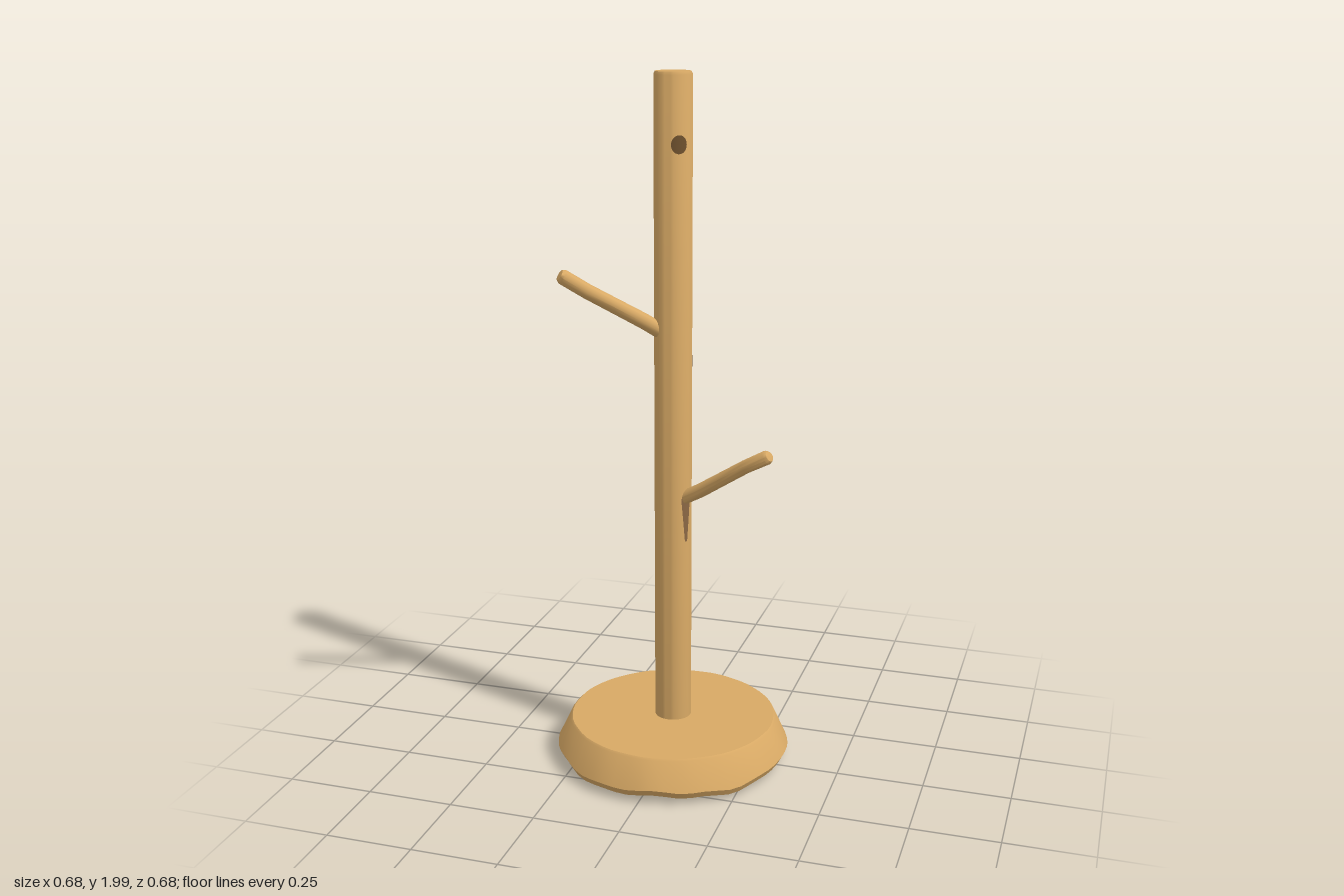
import * as THREE from 'three';
import { toCreasedNormals } from 'three/addons/utils/BufferGeometryUtils.js';

const TRUNK_R = 0.053;

function material(name, color) {
  const m = new THREE.MeshStandardMaterial({ color });
  m.name = name;
  return m;
}

export function createModel() {
  const model = new THREE.Group();
  model.name = 'branchStand';
  const wood = material('wood', 0xd8a965);
  const brownWood = material('brown wood', 0x8a6744);
  const darkWood = material('dark wood', 0x70522f);

  const add = (name, geometry, mat = wood) => {
    const mesh = new THREE.Mesh(geometry, mat);
    mesh.name = name;
    model.add(mesh);
    return mesh;
  };
  const lathe = (points, segments) =>
    new THREE.LatheGeometry(points.map(([r, y]) => new THREE.Vector2(r, y)), segments);

  // Base: a bevelled slab whose lower rim is slightly ragged, with a darker underside
  function slab(name, points, mat) {
    const g = lathe(points, 56);
    const p = g.attributes.position;
    for (let i = 0; i < p.count; i++) {
      const x = p.getX(i), y = p.getY(i), z = p.getZ(i);
      if (Math.hypot(x, z) < 0.25) continue;
      const a = Math.atan2(x, z);
      const k = 1 + 0.002 * Math.sin(9 * a) + 0.002 * Math.sin(17 * a + 1);
      const lift = y < 0.06 ? 0.005 * Math.sin(5 * a + 0.6) + 0.003 * Math.sin(13 * a) : 0;
      p.setXYZ(i, x * k, Math.max(0, y + lift), z * k);
    }
    add(name, toCreasedNormals(g, 0.45), mat);
  }
  slab('baseUnderside', [[0, 0.012], [0.2, 0.011], [0.305, 0.014], [0.331, 0.025]], brownWood);
  slab('base', [[0.331, 0.025], [0.342, 0.045], [0.304, 0.126], [0.299, 0.131], [0, 0.131]], wood);

  // Trunk: straight pole with an eased top edge
  add('trunk', toCreasedNormals(lathe([[TRUNK_R, 0.12], [TRUNK_R, 1.992],
    [TRUNK_R - 0.004, 2], [0, 2]], 40), 0.6));

  // Branches: tapering pegs with rounded tips, gently bent
  function branch(name, from, to, r0, r1) {
    const a = new THREE.Vector3(...from), b = new THREE.Vector3(...to);
    const L = a.distanceTo(b);
    const g = lathe([[0, 0], [r0, 0], [r0, L * 0.25], [r0 * 0.97, L * 0.5], [r0 * 0.95, L * 0.75],
      [r1, L - 0.012], [r1 * 0.75, L - 0.003], [0, L]], 14);
    const q = g.attributes.position;
    for (let i = 0; i < q.count; i++) {
      const t = q.getY(i) / L;
      q.setX(i, q.getX(i) + 0.003 * Math.sin(t * Math.PI * 2));
    }
    const mesh = add(name, toCreasedNormals(g, 0.8));
    mesh.position.copy(a);
    mesh.quaternion.setFromUnitVectors(new THREE.Vector3(0, 1, 0), b.sub(a).normalize());
  }
  branch('rightBranch', [-0.005, 1.275, 0.005], [-0.268, 1.468, 0.178], 0.022, 0.021);
  branch('leftBranch', [0.015, 0.8, 0.01], [0.308, 0.985, 0.1], 0.02, 0.02);

  // Wraps a flat geometry around the trunk, facing the given direction
  function wrap(name, geometry, mat, dx, dz, y) {
    const a0 = Math.atan2(dx, dz), R = TRUNK_R + 0.0012;
    const q = geometry.attributes.position;
    for (let i = 0; i < q.count; i++) {
      const a = a0 + q.getX(i) / R;
      q.setXYZ(i, R * Math.sin(a), y + q.getY(i), R * Math.cos(a));
    }
    geometry.computeVertexNormals();
    add(name, geometry, mat);
  }

  // Peg holes: one free hole at the top plus the far ends of the branch holes
  const holes = [
    ['topHoleFront', 0.03, 0.043, 1.81], ['topHoleBack', -0.03, -0.043, 1.705],
    ['rightBranchHole', 0.91, -0.41, 1.21], ['leftBranchHole', -0.95, -0.3, 0.725],
  ];
  for (const [name, dx, dz, y] of holes) {
    wrap(name, new THREE.RingGeometry(0.0002, 0.023, 18, 4).scale(1, 1.1, 1), darkWood, dx, dz, y);
  }

  // Tapering split in the wood below the left branch
  const split = new THREE.PlaneGeometry(0.034, 0.13, 4, 6);
  const s = split.attributes.position;
  for (let i = 0; i < s.count; i++) s.setX(i, s.getX(i) * (0.25 + 0.75 * (s.getY(i) / 0.13 + 0.5)));
  wrap('branchSplit', split, brownWood, 0.045, 0.026, 0.75);

  return model;
}
